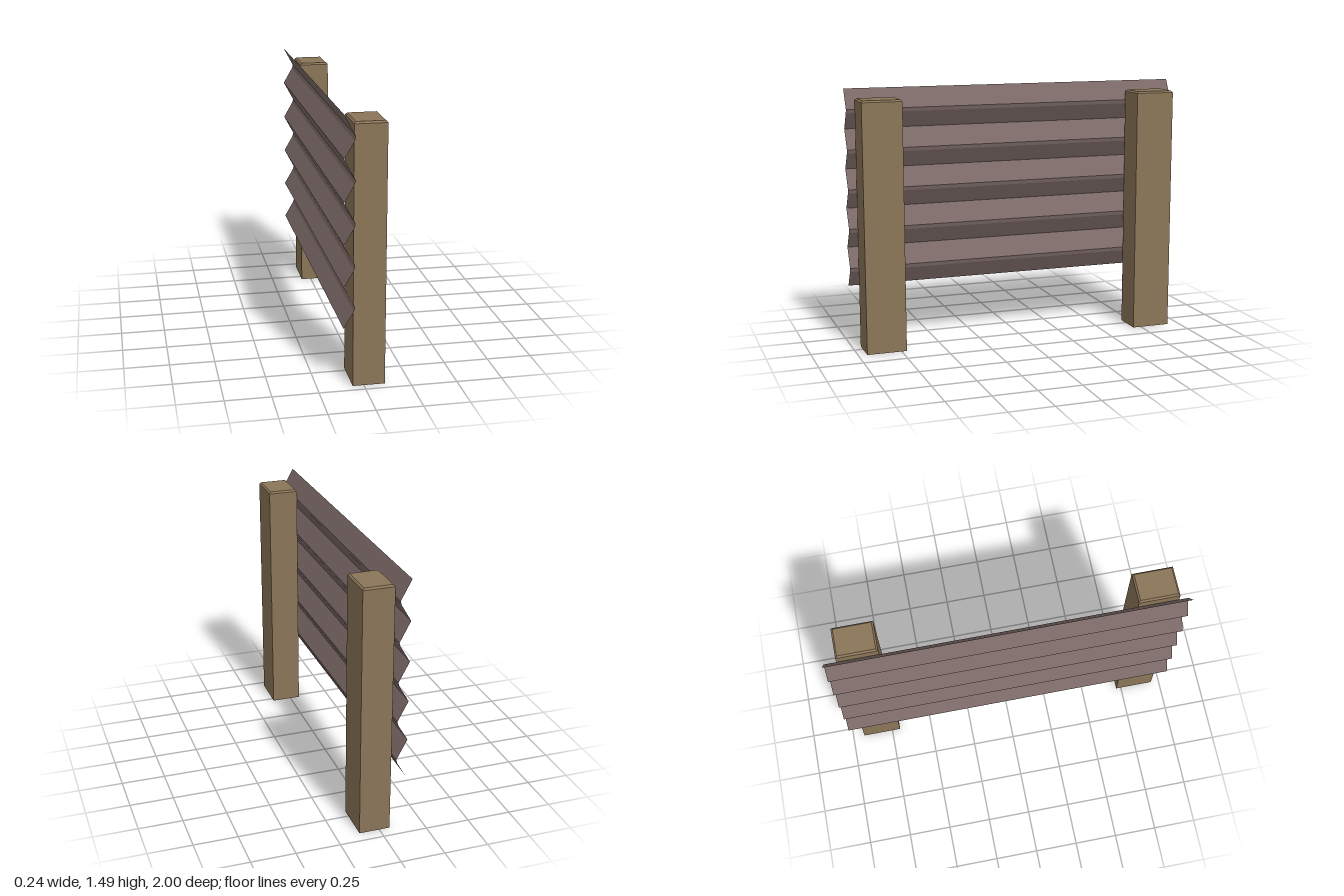
import * as THREE from 'three';

const wood = new THREE.MeshStandardMaterial({ color: 0x8b7558, flatShading: true });
wood.name = 'wood';
const sheetMetal = new THREE.MeshStandardMaterial({ color: 0x7c6a67, flatShading: true, side: THREE.DoubleSide });
sheetMetal.name = 'sheetMetal';

// Square-cut post with a small chamfer around its top
function createPost(name, z) {
  const width = 0.175, depth = 0.23, height = 1.437, bevel = 0.01;
  const box = new THREE.BoxGeometry(width, height, depth, 1, 2, 1);
  box.translate(0, height / 2, 0);
  const p = box.attributes.position;
  for (let i = 0; i < p.count; i++) {
    const y = p.getY(i);
    if (y > height - 0.001) {
      p.setX(i, p.getX(i) - Math.sign(p.getX(i)) * bevel);
      p.setZ(i, p.getZ(i) - Math.sign(p.getZ(i)) * bevel);
    } else if (y > 0.001) {
      p.setY(i, height - bevel);
    }
  }
  const geometry = box.toNonIndexed();
  geometry.computeVertexNormals();
  const post = new THREE.Mesh(geometry, wood);
  post.name = name;
  post.position.set(0.028, 0, z);
  return post;
}

// Thin corrugated sheet: a repeating ridge profile swept along z
function createSheet() {
  const top = 1.487, pitch = 0.227, ridges = 5;
  const outer = -0.12;
  const profile = [];
  for (let i = 0; i < ridges; i++) {
    const y = top - i * pitch;
    profile.push([outer, y], [-0.06, y - 0.112], [-0.066, y - 0.134]);
  }
  profile.push([outer, top - ridges * pitch]);

  const positions = [];
  for (let i = 0; i < profile.length - 1; i++) {
    const [x0, y0] = profile[i], [x1, y1] = profile[i + 1];
    positions.push(x0, y0, 1, x1, y1, 1, x1, y1, -1);
    positions.push(x0, y0, 1, x1, y1, -1, x0, y0, -1);
  }
  const geometry = new THREE.BufferGeometry();
  geometry.setAttribute('position', new THREE.Float32BufferAttribute(positions, 3));
  geometry.computeVertexNormals();
  const sheet = new THREE.Mesh(geometry, sheetMetal);
  sheet.name = 'corrugatedSheet';
  return sheet;
}

export function createModel() {
  const fence = new THREE.Group();
  fence.name = 'fenceSection';
  fence.add(createSheet(), createPost('frontPost', 0.835), createPost('backPost', -0.815));
  return fence;
}
